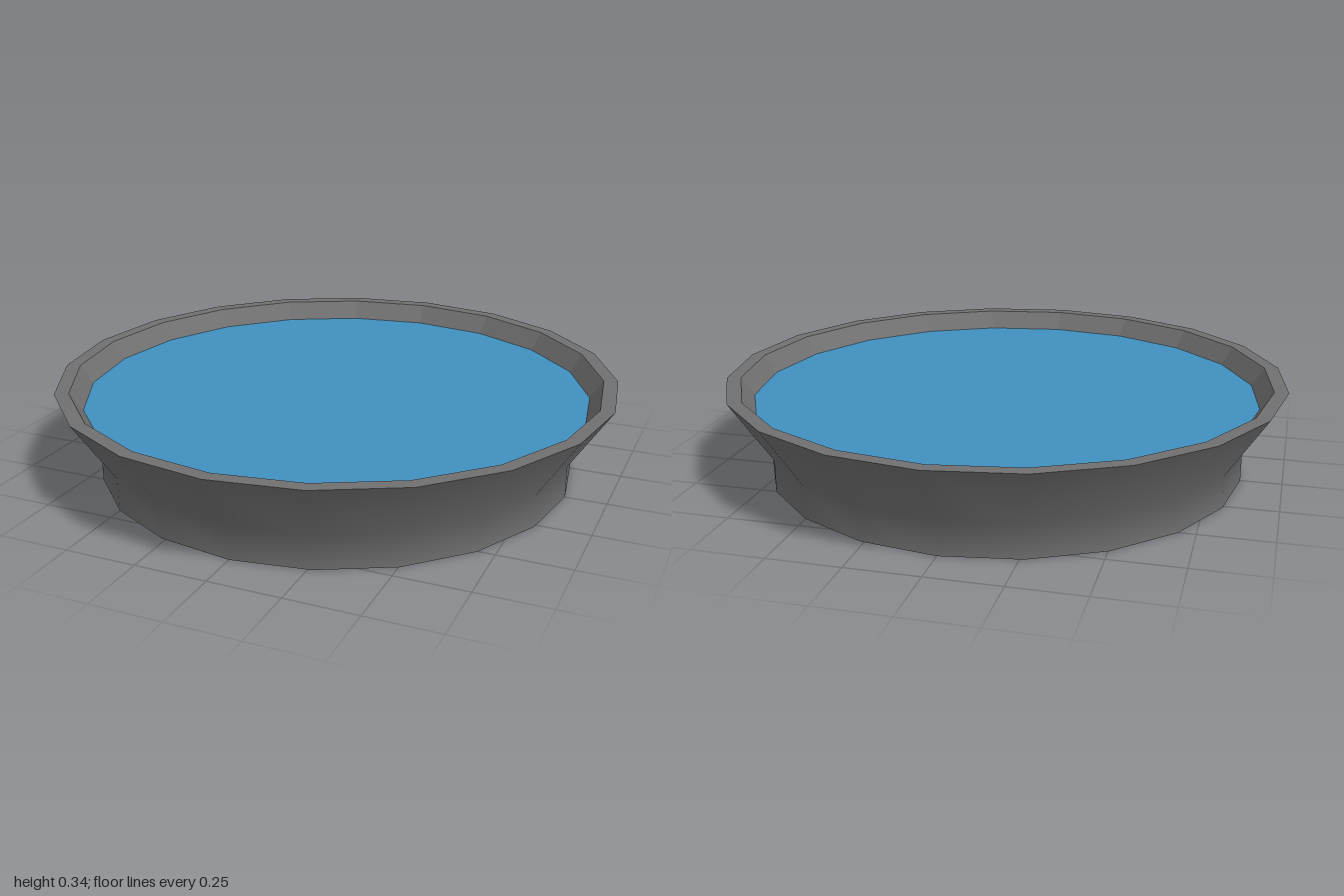
import * as THREE from 'three';

const SIDES = 20;

export function createModel() {
  const model = new THREE.Group();
  const stone = new THREE.MeshStandardMaterial({ color: 0x707070 });
  const facetedStone = new THREE.MeshStandardMaterial({ color: 0x707070, flatShading: true });
  const blue = new THREE.MeshStandardMaterial({ color: 0x4090c0 });

  const add = (name, geometry, material) => {
    const mesh = new THREE.Mesh(geometry, material);
    mesh.name = name;
    model.add(mesh);
  };
  // Revolve [radius, height] points; separate strips keep hard edges between them
  const ring = (points) =>
    new THREE.LatheGeometry(points.map(([r, y]) => new THREE.Vector2(r, y)), SIDES);
  // Flat disc facing up (dir = 1) or down (dir = -1)
  const disc = (radius, y, dir) =>
    new THREE.CircleGeometry(radius, SIDES).rotateX(-dir * Math.PI / 2).translate(0, y, 0);

  // Upright foot blending smoothly into the flared bowl
  add('outerWall', ring([[0.855, 0], [0.855, 0.115], [1, 0.335]]), stone);
  // Flat lip and sloping inside wall
  add('rim', ring([[1, 0.335], [0.95, 0.335]]), facetedStone);
  add('innerWall', ring([[0.95, 0.335], [0.905, 0.27]]), facetedStone);
  // Underside and water surface
  add('base', disc(0.855, 0, -1), stone);
  add('water', disc(0.905, 0.27, 1), blue);

  return model;
}
